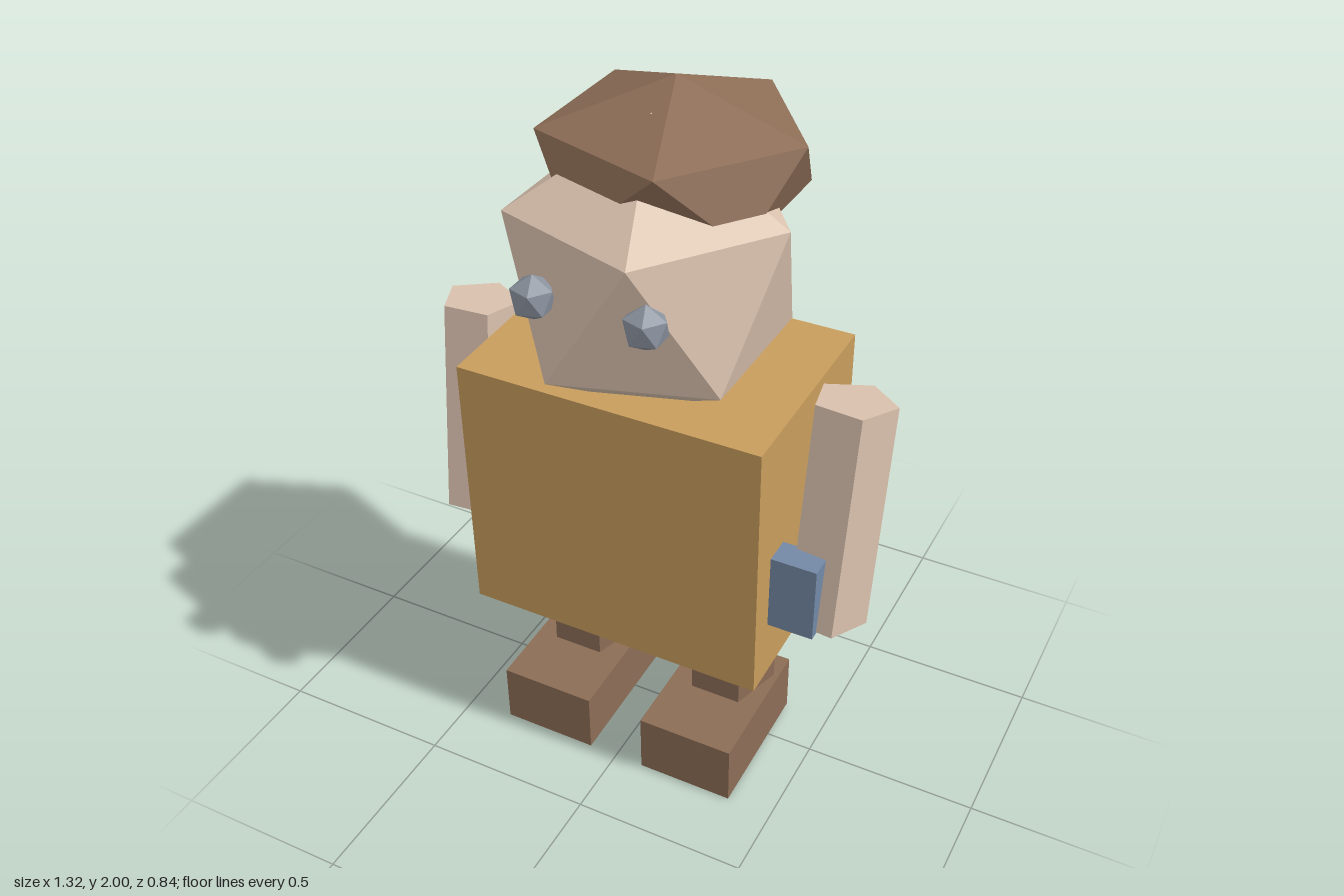
import * as THREE from 'three';

const mat = (name, color) => Object.assign(new THREE.MeshStandardMaterial({ color }), { name });

// Faceted copy of a geometry: one normal per face
function faceted(geo) {
  const g = geo.index ? geo.toNonIndexed() : geo;
  g.computeVertexNormals();
  return g;
}

// Unit icosahedron with a corner straight up and an upper-ring corner at +x
function poleIcosahedron() {
  const g = new THREE.IcosahedronGeometry(1, 0);
  g.rotateX(-Math.atan((1 + Math.sqrt(5)) / 2));
  g.rotateY(Math.PI / 2);
  return faceted(g);
}

// Five-sided post with its ridge towards the back
const post = (r, h) => faceted(new THREE.CylinderGeometry(r, r, h, 5, 1, false, Math.PI));

export function createModel() {
  const model = new THREE.Group();
  model.name = 'blockyFigure';

  const skin = mat('skin', 0xd9c1ad);
  const shirt = mat('ochreShirt', 0xc99d5c);
  const brown = mat('brown', 0x8c6d56);
  const grey = mat('eyeGrey', 0x8a929e);
  const blue = mat('blue', 0x7389a6);

  const add = (name, geo, material, x, y, z) => {
    const mesh = new THREE.Mesh(geo, material);
    mesh.name = name;
    mesh.position.set(x, y, z);
    model.add(mesh);
    return mesh;
  };

  // Torso, leaning very slightly forward
  add('torso', new THREE.BoxGeometry(0.87, 0.79, 0.605), shirt, 0, 0.87, 0.003).rotation.x = 0.022;

  // Head and flattened hair
  const ico = poleIcosahedron();
  add('head', ico, skin, 0, 1.535, 0.045).scale.setScalar(0.414);
  add('hair', ico, brown, 0, 1.786, -0.085).scale.set(0.393, 0.213, 0.393);

  for (const side of [-1, 1]) {
    const label = side > 0 ? 'left' : 'right';

    add(label + 'Eye', ico, grey, side * 0.153, 1.572, 0.37).scale.setScalar(0.062);

    // Arms swing forward, one a little more than the other
    const arm = add(label + 'Arm', post(0.112, 0.642), skin, side * 0.552, 0.957, side > 0 ? 0.056 : 0.042);
    arm.rotation.set(side > 0 ? -0.155 : -0.1, side * -0.1, 0);

    // Leg runs down through the foot, its ridge showing behind the heel
    const leg = add(label + 'Leg', post(0.128, 0.54), brown, side * 0.23, 0.285, -0.011);
    leg.scale.z = 1.05;

    const foot = add(label + 'Foot', new THREE.BoxGeometry(0.282, 0.187, 0.422), brown, side * 0.226, 0.1, 0.077);
    foot.rotation.x = 0.02;
  }

  // Small box held at the hip
  add('hipBox', new THREE.BoxGeometry(0.17, 0.225, 0.08), blue, 0.478, 0.762, 0.183);

  return model;
}
